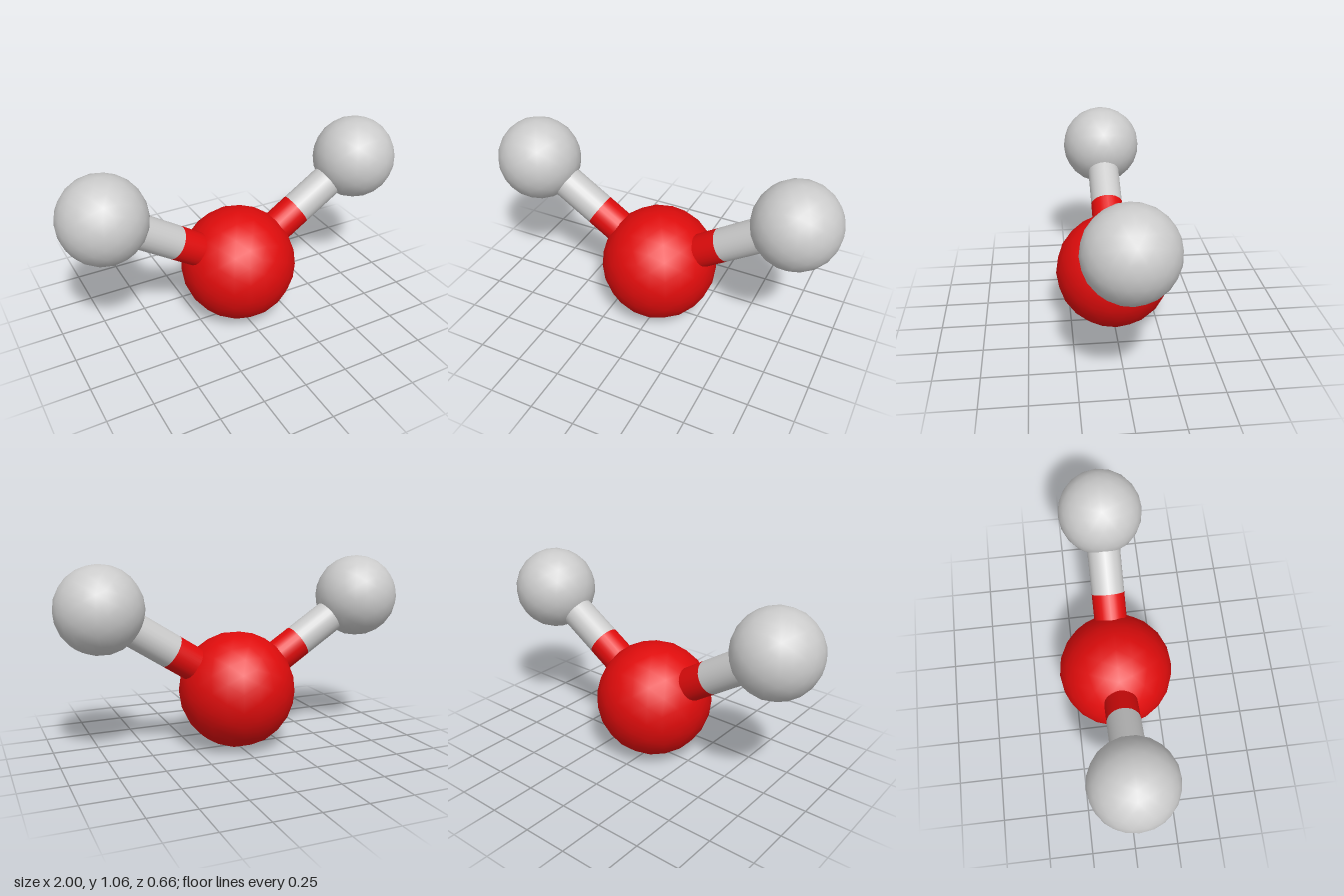
import * as THREE from 'three';

const red = new THREE.MeshStandardMaterial({ color: 0xe00c0c });
const grey = new THREE.MeshStandardMaterial({ color: 0xcccccc });

const UP = new THREE.Vector3(0, 1, 0);
const CENTRE = new THREE.Vector3(0, 0.33, 0);

// Smooth ball made of near-equal triangles
function ball(name, radius, position, material) {
  const mesh = new THREE.Mesh(new THREE.IcosahedronGeometry(radius, 3), material);
  mesh.name = name;
  mesh.position.copy(position);
  return mesh;
}

// Round rod running between two points
function rod(name, from, to, material) {
  const axis = to.clone().sub(from);
  const geometry = new THREE.CylinderGeometry(0.094, 0.094, axis.length(), 24);
  const mesh = new THREE.Mesh(geometry, material);
  mesh.name = name;
  mesh.position.copy(from).lerp(to, 0.5);
  mesh.quaternion.setFromUnitVectors(UP, axis.normalize());
  return mesh;
}

export function createModel() {
  const model = new THREE.Group();
  model.name = 'moleculeModel';
  model.add(ball('centralAtom', 0.328, CENTRE, red));

  // Outer atoms and their two-coloured bonds, mirrored left and right
  for (const [side, sign] of [['left', 1], ['right', -1]]) {
    const outer = new THREE.Vector3(sign * 0.764, 0.826, 0);
    const middle = CENTRE.clone().lerp(outer, 0.5);
    model.add(
      ball(side + 'OuterAtom', 0.236, outer, grey),
      rod(side + 'InnerBond', CENTRE, middle, red),
      rod(side + 'OuterBond', middle, outer, grey)
    );
  }
  return model;
}
